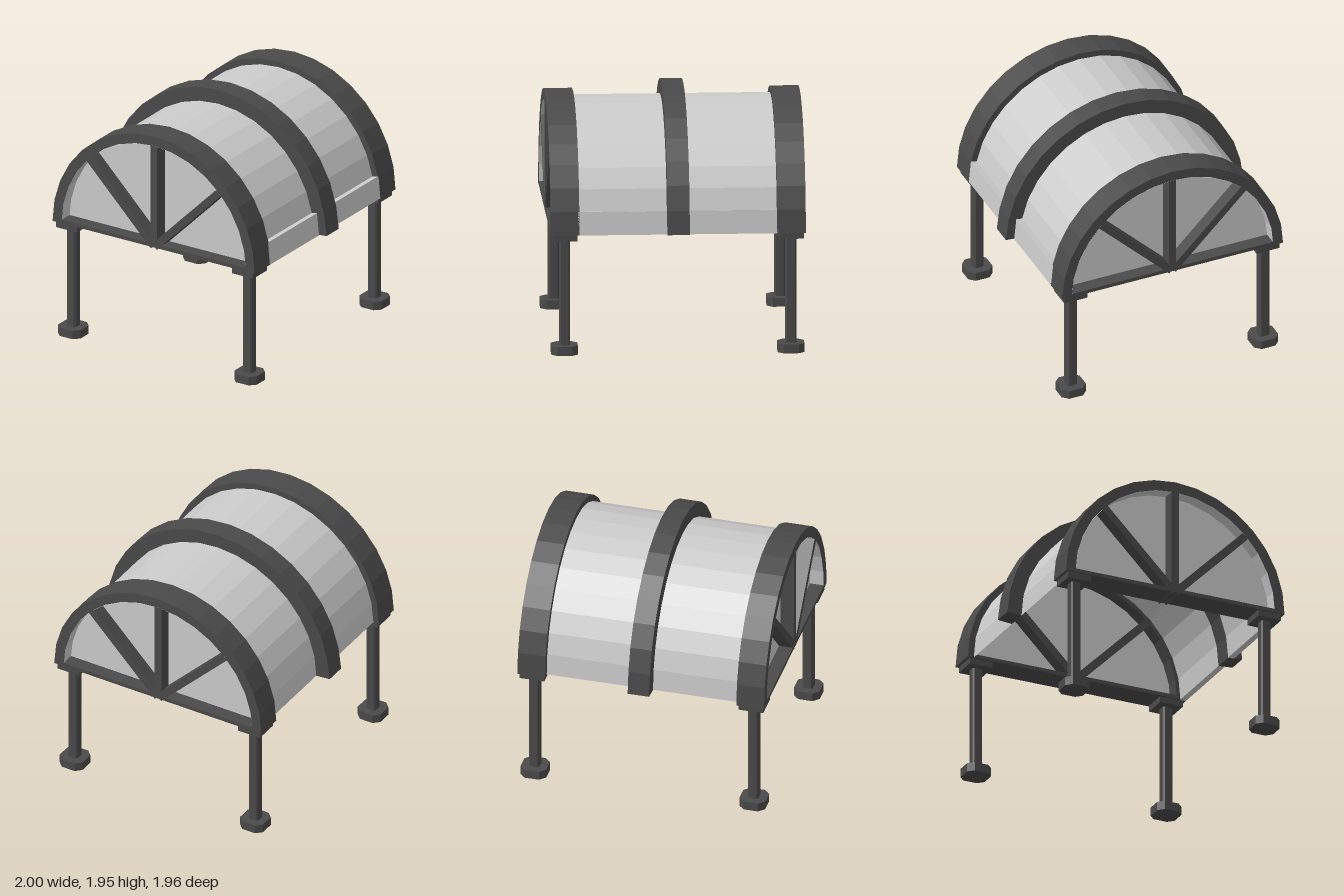
import * as THREE from 'three';

const SEG = 16, BASE = 0.95;
const dark = new THREE.MeshStandardMaterial({ color: 0x4a4a4a, flatShading: true });
const grey = new THREE.MeshStandardMaterial({ color: 0xcccccc, flatShading: true, side: THREE.DoubleSide });

// Points of a faceted arc, from facet a to facet b of the half circle
function arc(r, a = 0, b = SEG) {
  const pts = [];
  for (let i = a; i <= b; i++) {
    const t = (i / SEG) * Math.PI;
    pts.push(new THREE.Vector2(r * Math.cos(t), BASE + r * Math.sin(t)));
  }
  return pts;
}

function add(parent, name, geometry, material, x = 0, y = 0, z = 0) {
  const mesh = new THREE.Mesh(geometry, material);
  mesh.name = name;
  mesh.position.set(x, y, z);
  parent.add(mesh);
  return mesh;
}

// Outline extruded along z, from z0 to z1
function prism(points, z0, z1) {
  return new THREE.ExtrudeGeometry(new THREE.Shape(points), { depth: z1 - z0, bevelEnabled: false, steps: 1 })
    .translate(0, 0, z0);
}

// Open faceted sheet following an arc, from z0 to z1
function sheet(r, z0, z1) {
  const pos = [], index = [];
  arc(r).forEach((p, i) => {
    pos.push(p.x, p.y, z0, p.x, p.y, z1);
    if (i < SEG) index.push(2 * i, 2 * i + 2, 2 * i + 1, 2 * i + 1, 2 * i + 2, 2 * i + 3);
  });
  const g = new THREE.BufferGeometry();
  g.setAttribute('position', new THREE.Float32BufferAttribute(pos, 3));
  g.setIndex(index);
  g.computeVertexNormals();
  return g;
}

// Upright square block with chamfered vertical edges, standing on y = 0
function chamferedBlock(width, height, c) {
  const h = width / 2, k = h - c;
  const corners = [[h, -k], [h, k], [k, h], [-k, h], [-h, k], [-h, -k], [-k, -h], [k, -h]];
  return prism(corners.map(([x, y]) => new THREE.Vector2(x, y)), 0, height).rotateX(-Math.PI / 2);
}

// One end of the shelter, facing +z
function createEnd() {
  const end = new THREE.Group();
  add(end, 'endArch', prism([...arc(0.93), ...arc(0.85).reverse()], 0.76, 0.98), dark);
  add(end, 'archLining', sheet(0.848, 0.87, 0.979), grey);
  add(end, 'endPanel', new THREE.ShapeGeometry(new THREE.Shape(arc(0.85))), grey, 0, 0, 0.87);
  add(end, 'sill', new THREE.BoxGeometry(1.72, 0.03, 0.218), dark, 0, BASE + 0.015, 0.87);
  // Fan of three beams
  for (const angle of [-1, 0, 1]) {
    const g = new THREE.BoxGeometry(0.06, 0.84, 0.216).translate(0, 0.43, 0);
    add(end, 'fanBeam', g, dark, 0, BASE, 0.87).rotation.z = angle * Math.PI / 4;
  }
  // Legs with foot and cap
  for (const side of [-1, 1]) {
    const leg = new THREE.Group();
    leg.name = side > 0 ? 'leftLeg' : 'rightLeg';
    leg.position.set(side * 0.81, 0, 0.87);
    add(leg, 'foot', chamferedBlock(0.205, 0.07, 0.045), dark);
    add(leg, 'post', chamferedBlock(0.082, 0.84, 0.012), dark, 0, 0.065);
    add(leg, 'cap', new THREE.BoxGeometry(0.195, 0.05, 0.195), dark, 0, 0.925);
    end.add(leg);
  }
  return end;
}

export function createModel() {
  const model = new THREE.Group();
  model.name = 'archedShelter';

  const front = createEnd();
  front.name = 'frontEnd';
  const back = createEnd();
  back.name = 'backEnd';
  back.rotation.y = Math.PI;
  model.add(front, back);

  // Middle rib, its outer feet raised slightly
  const outer = arc(0.995);
  outer[0].set(1, BASE + 0.01);
  outer[SEG].set(-1, BASE + 0.01);
  add(model, 'middleRib', prism([...outer, ...arc(0.88).reverse()], -0.085, 0.085), dark);

  // Roof sheets and the raised ledge along the left side
  for (const [z0, z1] of [[-0.77, -0.085], [0.085, 0.77]]) {
    add(model, 'roof', sheet(0.88, z0, z1), grey);
    add(model, 'ledge', prism([...arc(0.93, 0, 1), ...arc(0.88, 0, 1).reverse()], z0, z1), grey);
  }
  return model;
}
